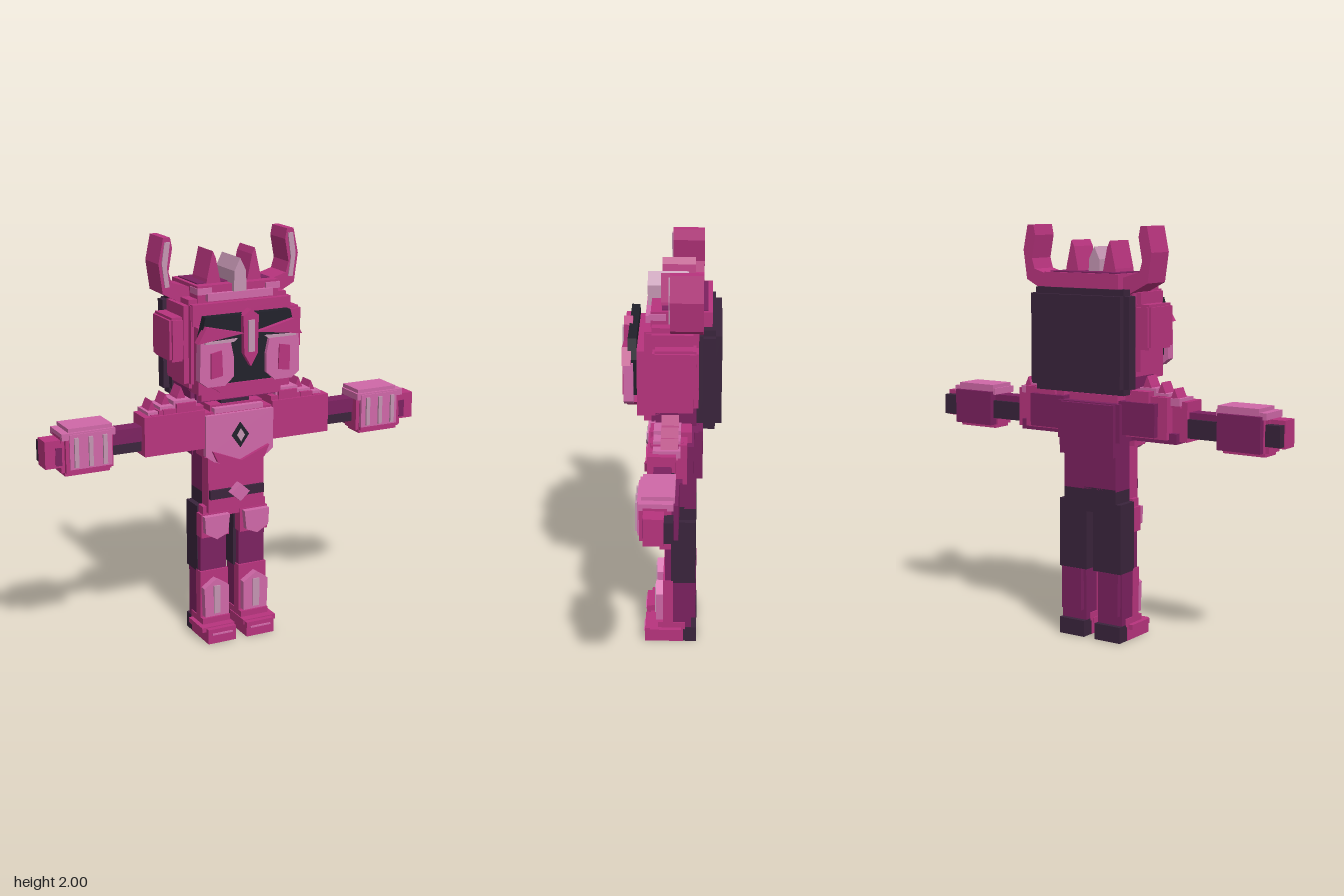
import * as THREE from 'three';

const paint = (name, color) => Object.assign(new THREE.MeshStandardMaterial({ color }), { name });

export function createModel() {
  const magenta = paint('magenta', 0xb8347e), pink = paint('pink', 0xd068a8), plum = paint('plum', 0x7c2160),
    dark = paint('dark plum', 0x3a243c), black = paint('black', 0x20202a), silver = paint('silver', 0xc495b2);
  const model = new THREE.Group();
  let part = model;
  const section = (name) => {
    part = new THREE.Group();
    part.name = name;
    model.add(part);
  };
  const add = (name, geometry, material) => {
    const mesh = new THREE.Mesh(geometry, material);
    mesh.name = name;
    part.add(mesh);
  };
  // Box from its limits
  const box = (name, mat, x0, x1, y0, y1, z0, z1) => {
    const g = new THREE.BoxGeometry(Math.abs(x1 - x0), y1 - y0, z1 - z0);
    add(name, g.translate((x0 + x1) / 2, (y0 + y1) / 2, (z0 + z1) / 2), mat);
  };
  // Box with a notched step along every edge
  const stepped = (name, mat, x0, x1, y0, y1, z0, z1, s = 0.02) => {
    box(name, mat, x0, x1, y0 + s, y1 - s, z0 + s, z1 - s);
    box(name, mat, x0 + s, x1 - s, y0, y1, z0 + s, z1 - s);
    box(name, mat, x0 + s, x1 - s, y0 + s, y1 - s, z0, z1);
  };
  // Front outline pushed back from z1 to z0
  const plate = (name, mat, pts, z0, z1, side = 1) => {
    const shape = new THREE.Shape(pts.map(([x, y]) => new THREE.Vector2(x * side, y)));
    add(name, new THREE.ExtrudeGeometry(shape, { depth: z1 - z0, bevelEnabled: false }).translate(0, 0, z0), mat);
  };
  const diamond = (y, w, h) => [[-w, y], [0, y - h], [w, y], [0, y + h]];
  const pair = (fn) => [1, -1].forEach((s) => fn(s,
    (name, mat, x0, x1, ...r) => box(name, mat, Math.min(s * x0, s * x1), Math.max(s * x0, s * x1), ...r),
    (name, mat, x0, x1, ...r) => stepped(name, mat, Math.min(s * x0, s * x1), Math.max(s * x0, s * x1), ...r),
    (name, mat, pts, z0, z1) => plate(name, mat, pts, z0, z1, s)));

  section('head');
  stepped('helmet', magenta, -0.28, 0.28, 1.3, 1.72, -0.13, 0.11, 0.025);
  stepped('helmetBase', plum, -0.24, 0.24, 1.22, 1.42, -0.14, 0.09);
  box('faceBlock', magenta, -0.24, 0.24, 1.28, 1.6, 0.05, 0.155);
  box('jaw', magenta, -0.21, 0.21, 1.24, 1.34, 0.05, 0.125);
  box('forehead', magenta, -0.25, 0.25, 1.6, 1.7, 0.05, 0.12);
  stepped('backShell', dark, -0.28, 0.28, 1.22, 1.71, -0.235, -0.12, 0.03);
  box('crownRim', magenta, -0.21, 0.21, 1.69, 1.78, -0.19, 0.09);
  box('crownTop', plum, -0.19, 0.19, 1.775, 1.785, -0.17, 0.04);
  box('crownBand', pink, -0.17, 0.17, 1.71, 1.745, 0.08, 0.115);
  pair((s, b, st, p) => {
    b('crownCorner', pink, 0.14, 0.215, 1.74, 1.77, 0.02, 0.1);
    st('ear', magenta, 0.25, 0.345, 1.43, 1.64, -0.13, 0.08, 0.012);
    p('horn', magenta, [[0.2, 1.7], [0.23, 1.68], [0.345, 1.74], [0.365, 1.88], [0.34, 2], [0.305, 2],
      [0.295, 1.95], [0.315, 1.84], [0.3, 1.79], [0.2, 1.76]], -0.15, 0);
    p('hornInlay', silver, [[0.312, 1.77], [0.335, 1.77], [0.35, 1.88], [0.335, 1.98], [0.308, 1.98], [0.325, 1.86]], 0, 0.006);
    p('crownSpike', magenta, [[0.065, 1.76], [0.145, 1.76], [0.14, 1.8], [0.11, 1.93], [0.095, 1.9]], -0.11, 0.045);
  });
  plate('crest', silver, [[-0.033, 1.74], [0.033, 1.74], [0.03, 1.84], [0, 1.9], [-0.03, 1.84]], -0.08, 0.11);

  section('face');
  plate('visor', black, [[-0.1, 1.33], [0.1, 1.33], [0.235, 1.38], [0.245, 1.56], [0.22, 1.655],
    [-0.22, 1.655], [-0.245, 1.56], [-0.235, 1.38]], 0.155, 0.195);
  plate('chinGuard', magenta, [[-0.2, 1.33], [-0.14, 1.29], [-0.1, 1.27], [0.1, 1.27], [0.14, 1.29], [0.2, 1.33],
    [0.09, 1.335], [-0.09, 1.335]], 0.12, 0.205);
  plate('noseGuard', magenta, [[-0.04, 1.65], [0, 1.68], [0.04, 1.65], [0.035, 1.47], [0, 1.41], [-0.035, 1.47]], 0.18, 0.222);
  box('noseInlay', silver, -0.016, 0.016, 1.48, 1.63, 0.22, 0.23);
  pair((s, b, st, p) => {
    p('cheek', pink, [[0.1, 1.53], [0.255, 1.545], [0.26, 1.36], [0.22, 1.33], [0.13, 1.33], [0.085, 1.37], [0.085, 1.46]], 0.17, 0.215);
    p('cheekInlay', magenta, [[0.15, 1.5], [0.205, 1.49], [0.205, 1.37], [0.145, 1.38]], 0.21, 0.222);
    p('brow', magenta, [[0.035, 1.57], [0.27, 1.54], [0.225, 1.615]], 0.18, 0.222);
    p('eyeLine', silver, [[0.07, 1.55], [0.235, 1.545], [0.235, 1.535], [0.09, 1.535]], 0.215, 0.224);
  });

  section('torso');
  box('neck', dark, -0.075, 0.075, 1.14, 1.25, -0.07, 0.06);
  box('chestFront', magenta, -0.18, 0.18, 0.95, 1.17, 0, 0.09);
  box('chestBack', plum, -0.18, 0.18, 0.98, 1.165, -0.13, 0);
  box('backPlate', plum, -0.155, 0.155, 0.91, 1.16, -0.15, -0.1);
  box('collar', magenta, -0.14, 0.14, 1.15, 1.2, -0.09, 0.07);
  box('collarTrim', pink, -0.13, 0.13, 1.165, 1.19, 0.06, 0.1);
  box('abdomenFront', magenta, -0.15, 0.15, 0.66, 0.97, 0, 0.07);
  box('abdomenBack', plum, -0.15, 0.15, 0.74, 0.98, -0.12, 0);
  plate('chestPlate', pink, [[-0.18, 1.16], [0.18, 1.16], [0.18, 0.96], [0.14, 0.93], [0, 0.88], [-0.14, 0.93], [-0.18, 0.96]], 0.07, 0.11);
  plate('chevron', magenta, [[-0.15, 0.985], [-0.11, 0.97], [0, 0.925], [0.11, 0.97], [0.15, 0.985], [0.125, 0.93],
    [0, 0.865], [-0.125, 0.93]], 0.1, 0.128);
  plate('chestGem', black, diamond(1.05, 0.045, 0.062), 0.1, 0.118);
  plate('gemCore', silver, diamond(1.05, 0.02, 0.032), 0.117, 0.124);
  box('belt', dark, -0.145, 0.145, 0.73, 0.775, 0.06, 0.085);
  plate('buckle', pink, diamond(0.76, 0.05, 0.045), 0.08, 0.12);
  box('pelvis', magenta, -0.17, 0.17, 0.63, 0.69, 0, 0.05);
  box('seat', dark, -0.15, 0.15, 0.63, 0.75, -0.12, 0);

  section('arms');
  pair((s, b, st, p) => {
    b('shoulder', magenta, 0.18, 0.49, 1, 1.19, -0.03, 0.1);
    b('shoulderInner', magenta, 0.18, 0.41, 1.01, 1.21, -0.08, 0.085);
    b('shoulderBack', plum, 0.16, 0.36, 1.02, 1.18, -0.11, -0.03);
    b('shoulderUnderside', plum, 0.2, 0.45, 0.99, 1.04, -0.06, 0.07);
    // Pads step down toward the elbow
    for (const [x0, x1, y] of [[0.21, 0.33, 1.245], [0.33, 0.4, 1.225], [0.4, 0.46, 1.205]]) {
      b('shoulderPad', pink, x0, x1, 1.17, y, -0.05, 0.075);
      b('shoulderPadEdge', magenta, x0 + 0.01, x1 - 0.01, 1.17, y - 0.012, -0.1 + (x0 - 0.21) * 0.3, 0.09);
    }
    for (const [x, y] of [[0.275, 1.3], [0.355, 1.275], [0.425, 1.25]])
      p('shoulderSpike', magenta, [[x - 0.03, y - 0.09], [x + 0.035, y - 0.09], [x + 0.02, y - 0.045], [x, y], [x - 0.02, y - 0.05]], -0.04, 0.04);
    b('elbow', dark, 0.48, 0.66, 1.02, 1.11, -0.025, 0.06);
    b('elbowTop', plum, 0.48, 0.66, 1.07, 1.14, -0.01, 0.07);
    st('forearm', magenta, 0.65, 0.905, 0.965, 1.17, -0.02, 0.12, 0.018);
    b('forearmBack', plum, 0.66, 0.885, 0.985, 1.155, -0.05, 0);
    b('forearmTop', pink, 0.655, 0.87, 1.16, 1.19, -0.035, 0.11);
    b('forearmTopEdge', pink, 0.645, 0.905, 1.14, 1.172, -0.03, 0.122);
    b('forearmPanel', pink, 0.665, 0.87, 1, 1.165, 0.11, 0.128);
    for (const x of [0.7, 0.77, 0.84]) b('forearmBar', silver, x - 0.01, x + 0.01, 1.01, 1.15, 0.125, 0.138);
    b('hand', magenta, 0.9, 0.98, 1.01, 1.14, 0.01, 0.1);
    b('palm', dark, 0.9, 0.975, 1.02, 1.12, -0.03, 0.01);
    b('knuckles', plum, 0.9, 0.93, 1.02, 1.105, 0.09, 0.104);
  });

  section('legs');
  pair((s, b, st, p) => {
    b('thighFront', magenta, 0.03, 0.18, 0.53, 0.65, 0, 0.055);
    b('thighBack', dark, 0.02, 0.178, 0.34, 0.68, -0.12, 0);
    b('knee', plum, 0.035, 0.175, 0.32, 0.54, 0, 0.03);
    p('thighPlate', pink, [[0.04, 0.645], [0.175, 0.645], [0.17, 0.56], [0.11, 0.525], [0.05, 0.55]], 0.05, 0.085);
    b('shinFront', magenta, 0.03, 0.18, 0.07, 0.35, -0.01, 0.04);
    b('shinBack', plum, 0.035, 0.175, 0.07, 0.34, -0.1, -0.01);
    b('calf', plum, 0.05, 0.165, 0.13, 0.34, -0.122, -0.08);
    p('shinPlate', pink, [[0.04, 0.12], [0.17, 0.12], [0.175, 0.27], [0.11, 0.315], [0.04, 0.27]], 0.035, 0.075);
    b('shinInlay', silver, 0.09, 0.125, 0.135, 0.28, 0.07, 0.081);
    b('foot', magenta, 0.03, 0.18, 0, 0.075, -0.06, 0.13);
    b('heel', dark, 0.032, 0.178, 0, 0.08, -0.125, -0.06);
    b('footTrim', magenta, 0.025, 0.203, 0.055, 0.08, -0.05, 0.105);
    b('ankle', magenta, 0.03, 0.18, 0.07, 0.11, -0.07, 0.065);
    b('toeLine', pink, 0.05, 0.16, 0.045, 0.053, 0.13, 0.136);
  });
  return model;
}
